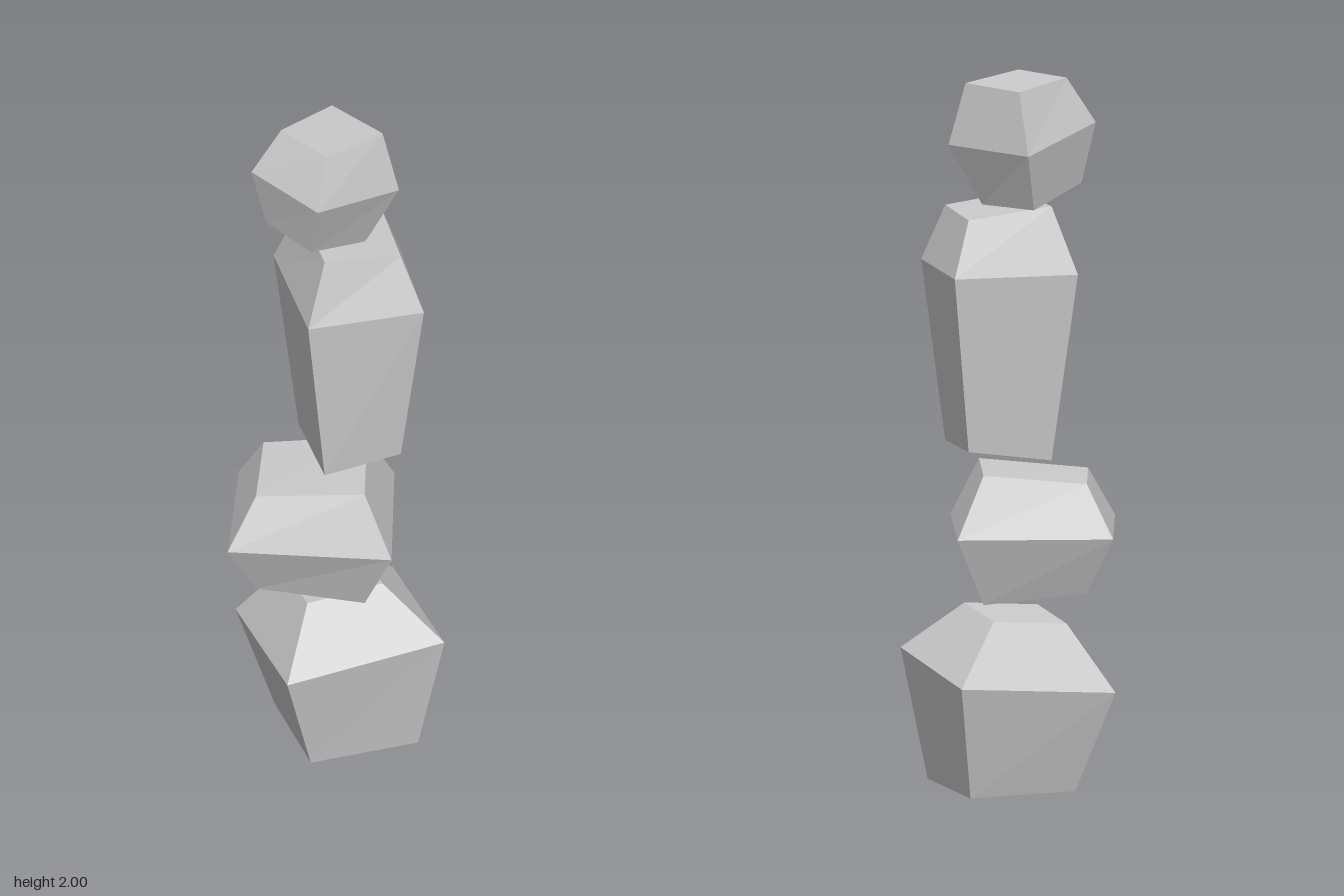
import * as THREE from 'three';

// Each stone is three four-cornered rings (bottom, waist, top).
// Corners run back-left, back-right, front-right, front-left as [x, y, z].
const stones = {
  baseStone: [
    [[-0.075, 0, -0.165], [0.24, 0, -0.165], [0.24, 0.005, 0.15], [-0.075, 0.005, 0.15]],
    [[-0.163, 0.285, -0.247], [0.3, 0.325, -0.247], [0.296, 0.37, 0.213], [-0.165, 0.325, 0.213]],
    [[-0.06, 0.47, -0.14], [0.16, 0.49, -0.14], [0.16, 0.51, 0.075], [-0.06, 0.49, 0.075]],
  ],
  wideStone: [
    [[-0.1, 0.56, -0.19], [0.17, 0.53, -0.09], [0.073, 0.53, 0.18], [-0.205, 0.56, 0.057]],
    [[-0.143, 0.725, -0.278], [0.265, 0.725, -0.132], [0.12, 0.725, 0.275], [-0.3, 0.725, 0.092]],
    [[-0.1, 0.87, -0.19], [0.17, 0.895, -0.09], [0.073, 0.895, 0.18], [-0.205, 0.87, 0.057]],
  ],
  tallStone: [
    [[-0.01, 0.937, -0.15], [0.225, 0.97, -0.115], [0.2, 0.965, 0.118], [-0.022, 0.937, 0.113]],
    [[-0.06, 1.47, -0.222], [0.287, 1.47, -0.165], [0.247, 1.47, 0.18], [-0.085, 1.47, 0.157]],
    [[-0.01, 1.655, -0.15], [0.225, 1.625, -0.115], [0.2, 1.63, 0.118], [-0.022, 1.655, 0.113]],
  ],
  topStone: [
    [[-0.135, 1.7, -0.065], [0.045, 1.648, -0.155], [0.125, 1.64, 0.03], [-0.06, 1.695, 0.11]],
    [[-0.174, 1.87, -0.075], [0.083, 1.81, -0.207], [0.215, 1.81, 0.057], [-0.063, 1.87, 0.176]],
    [[-0.09, 2, -0.065], [0.09, 1.985, -0.157], [0.178, 1.988, 0.023], [-0.015, 2, 0.105]],
  ],
};

// Joins the rings with side faces and closes both ends
function stoneGeometry(rings) {
  const index = [];
  const quad = (a, b, c, d) => index.push(a, b, c, a, c, d);
  for (let r = 0; r < rings.length - 1; r++) {
    for (let i = 0; i < 4; i++) {
      const j = (i + 1) % 4, low = r * 4, high = low + 4;
      quad(low + j, low + i, high + i, high + j);
    }
  }
  const top = (rings.length - 1) * 4;
  quad(0, 1, 2, 3);
  quad(top + 3, top + 2, top + 1, top);

  const indexed = new THREE.BufferGeometry();
  indexed.setAttribute('position', new THREE.Float32BufferAttribute(rings.flat(2), 3));
  indexed.setIndex(index);
  const geometry = indexed.toNonIndexed();
  geometry.computeVertexNormals();
  return geometry;
}

export function createModel() {
  const group = new THREE.Group();
  group.name = 'stackedStones';
  const material = new THREE.MeshStandardMaterial({ color: 0xcccccc, flatShading: true });
  for (const [name, rings] of Object.entries(stones)) {
    const stone = new THREE.Mesh(stoneGeometry(rings), material);
    stone.name = name;
    group.add(stone);
  }
  return group;
}
